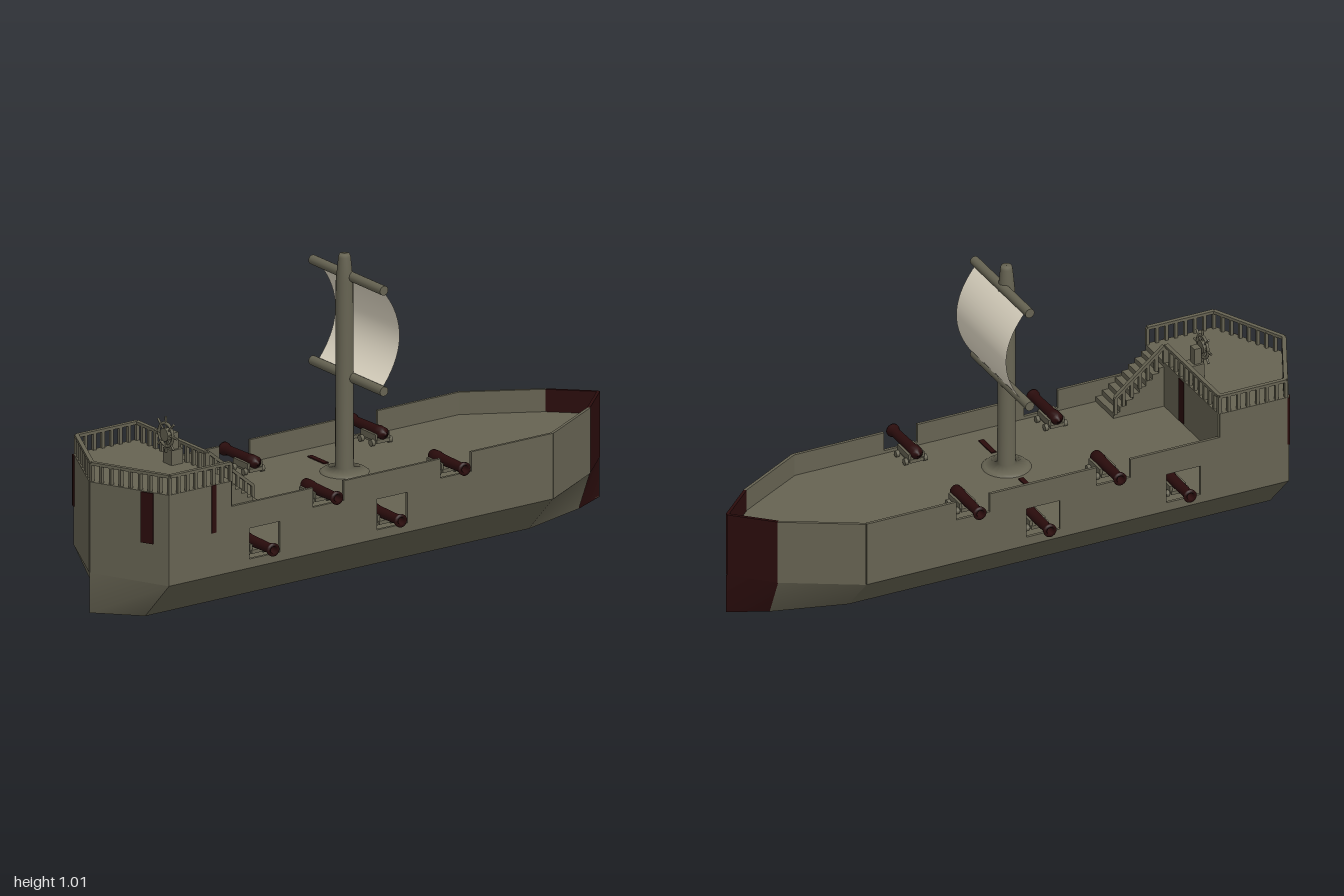
import * as THREE from 'three';

const mat = (name, color, side = THREE.FrontSide) => {
  const m = new THREE.MeshStandardMaterial({ color, side });
  m.name = name;
  return m;
};

export function createModel() {
  const ship = new THREE.Group();
  ship.name = 'sailingShip';
  const wood = mat('weatheredWood', 0x666352);
  const dark = mat('darkRed', 0x2a0c0c);
  const cloth = mat('sailCloth', 0xeae2ce, THREE.DoubleSide);

  const add = (name, geo, m, x = 0, y = 0, z = 0, parent = ship) => {
    const mesh = new THREE.Mesh(geo, m);
    mesh.name = name;
    mesh.position.set(x, y, z);
    parent.add(mesh);
    return mesh;
  };
  const box = (name, w, h, d, m, x, y, z, parent) =>
    add(name, new THREE.BoxGeometry(w, h, d), m, x, y, z, parent);
  // Box stretched between two points
  const beam = (name, a, b, w, h, m) => {
    const p = new THREE.Vector3(...a), q = new THREE.Vector3(...b);
    const mid = p.clone().add(q).multiplyScalar(0.5);
    const mesh = box(name, w, h, p.distanceTo(q), m, mid.x, mid.y, mid.z);
    mesh.lookAt(q);
    return mesh;
  };
  // Horizontal slab from [x, z] points, rising from y
  const slab = (name, pts, y, depth) => {
    const shape = new THREE.Shape(pts.map(([x, z]) => new THREE.Vector2(x, -z)));
    const geo = new THREE.ExtrudeGeometry(shape, { depth, bevelEnabled: false });
    geo.rotateX(-Math.PI / 2);
    return add(name, geo, wood, 0, y, 0);
  };

  // Hull plan, stern tip first
  const CHINE = 0.135, DECK = 0.28, SIDE = 0.355, POOP = 0.44;
  const plan = [[0, 1], [0.26, 0.875], [0.26, -0.63], [0.12, -0.875],
    [0, -1], [-0.12, -0.875], [-0.26, -0.63], [-0.26, 0.875]];
  const inset = plan.map(([x, z]) => [x * 0.97, z * 0.99]);
  const isBow = (i) => i === 3 || i === 4;

  // Sloped lower hull, one quad per plan edge
  plan.forEach(([ax, az], i) => {
    const [bx, bz] = plan[(i + 1) % plan.length];
    const geo = new THREE.BufferGeometry();
    geo.setAttribute('position', new THREE.Float32BufferAttribute([
      ax / 2, 0, az, bx / 2, 0, bz, bx, CHINE, bz, ax, CHINE, az], 3));
    geo.setIndex([0, 1, 2, 0, 2, 3]);
    geo.computeVertexNormals();
    add('lowerHull', geo, isBow(i) ? dark : wood);
  });
  slab('keelPlate', plan.map(([x, z]) => [x / 2, z]), 0, 0.004);
  slab('gunDeck', inset, CHINE, 0.01);
  slab('mainDeck', inset, DECK - 0.01, 0.01);
  slab('poopDeck', [[0, 0.995], [0.255, 0.87], [0.255, 0.625], [-0.255, 0.625], [-0.255, 0.87]], POOP - 0.012, 0.012);

  // Long side walls with gun ports and notches
  const wall = new THREE.Shape();
  wall.moveTo(-0.875, CHINE);
  wall.lineTo(0.63, CHINE);
  wall.lineTo(0.63, SIDE);
  for (const z of [-0.25, 0.25]) {
    wall.lineTo(-z + 0.06, SIDE);
    wall.lineTo(-z + 0.06, 0.29);
    wall.lineTo(-z - 0.06, 0.29);
    wall.lineTo(-z - 0.06, SIDE);
  }
  wall.lineTo(-0.63, SIDE);
  wall.lineTo(-0.63, POOP);
  wall.lineTo(-0.875, POOP);
  for (const z of [0, 0.5]) {
    wall.holes.push(new THREE.Path([[-0.06, 0.165], [-0.06, 0.268], [0.06, 0.268], [0.06, 0.165]]
      .map(([u, v]) => new THREE.Vector2(u - z, v))));
  }
  const wallGeo = new THREE.ExtrudeGeometry(wall, { depth: 0.01, bevelEnabled: false });
  wallGeo.rotateY(Math.PI / 2);
  for (const x of [0.25, -0.26]) add('sideWall', wallGeo, wood, x);

  // Bow and stern walls, bulkhead
  const panel = (name, a, b, top, m) => beam(name, [a[0], (CHINE + top) / 2, a[1]],
    [b[0], (CHINE + top) / 2, b[1]], 0.01, top - CHINE, m);
  for (const s of [1, -1]) {
    panel('bowWall', [s * 0.256, -0.63], [s * 0.116, -0.875], SIDE, wood);
    panel('bowTipWall', [s * 0.116, -0.873], [0, -0.996], SIDE, dark);
    panel('sternWall', [s * 0.258, 0.871], [0, 0.995], POOP, wood);
  }
  box('bulkhead', 0.51, POOP - DECK, 0.012, wood, 0, (POOP + DECK) / 2, 0.631);

  // Dark painted patches
  const patch = (x0, x1) => {
    const at = (x) => [x, 0.353, 1.001 - Math.abs(x) * 0.125 / 0.26];
    beam('sternPatch', at(x0), at(x1), 0.008, 0.17, dark);
  };
  patch(0.17, 0.21);
  patch(-0.243, -0.262);
  box('bulkheadPatch', 0.035, 0.15, 0.004, dark, 0, 0.36, 0.624);
  box('sidePatch', 0.004, 0.16, 0.018, dark, 0.26, 0.36, 0.7);
  for (const s of [1, -1]) box('deckPatch', 0.09, 0.004, 0.018, dark, s * 0.14, DECK + 0.002, 0.003);

  // Poop railing
  const railing = (a, b, count) => {
    const p = new THREE.Vector3(...a), q = new THREE.Vector3(...b);
    beam('railTop', [p.x, p.y + 0.06, p.z], [q.x, q.y + 0.06, q.z], 0.014, 0.01, wood);
    for (let i = 0; i <= count; i++) {
      const c = p.clone().lerp(q, i / count);
      box('railPost', 0.011, 0.06, 0.011, wood, c.x, c.y + 0.03, c.z);
    }
  };
  for (const s of [1, -1]) {
    railing([0, POOP, 0.99], [s * 0.253, POOP, 0.868], 8);
    railing([s * 0.253, POOP, 0.868], [s * 0.253, POOP, 0.63], 7);
  }
  railing([-0.253, POOP, 0.632], [0.123, POOP, 0.632], 11);
  railing([0.123, POOP, 0.625], [0.123, 0.295, 0.45], 6);

  // Stairs to the poop
  const steps = 8;
  for (let i = 0; i < steps; i++) {
    const h = (POOP - DECK) * (i + 1) / (steps + 1);
    box('stairStep', 0.125, h, 0.185 / steps, wood, 0.187, DECK + h / 2, 0.445 + 0.185 * (i + 0.5) / steps);
  }

  // Mast, yards and sail
  const mastProfile = [[0.08, DECK], [0.07, DECK + 0.008], [0.03, DECK + 0.016], [0.028, 0.92], [0.02, 1], [0.017, 1.01], [0, 1.01]];
  add('mast', new THREE.LatheGeometry(mastProfile.map((p) => new THREE.Vector2(...p)), 20), wood);
  for (const y of [0.935, 0.597]) {
    const yard = add('yard', new THREE.CylinderGeometry(0.016, 0.016, 0.39, 14), wood, 0, y, -0.015);
    yard.rotation.z = Math.PI / 2;
  }
  const sail = new THREE.PlaneGeometry(0.35, 0.338, 1, 18);
  const pos = sail.attributes.position;
  for (let i = 0; i < pos.count; i++) {
    const t = pos.getY(i) / 0.169;
    pos.setZ(i, -0.018 - 0.072 * (1 - t * t));
  }
  sail.computeVertexNormals();
  add('sail', sail, cloth, 0, 0.766, 0);

  // Steering wheel on its stand
  box('wheelStand', 0.046, 0.05, 0.045, wood, 0, 0.465, 0.672);
  box('wheelPost', 0.03, 0.06, 0.025, wood, 0, 0.515, 0.675);
  const wheel = new THREE.Group();
  wheel.name = 'steeringWheel';
  wheel.position.set(0, 0.54, 0.7);
  ship.add(wheel);
  add('wheelRim', new THREE.TorusGeometry(0.038, 0.005, 8, 24), wood, 0, 0, 0, wheel);
  const hub = add('wheelHub', new THREE.CylinderGeometry(0.022, 0.022, 0.016, 16), wood, 0, 0, 0, wheel);
  hub.rotation.x = Math.PI / 2;
  for (let i = 0; i < 8; i++) {
    const a = i * Math.PI / 4;
    const spoke = add('wheelSpoke', new THREE.CylinderGeometry(0.004, 0.003, 0.06, 8), wood,
      -Math.sin(a) * 0.03, Math.cos(a) * 0.03, 0, wheel);
    spoke.rotation.z = a;
  }

  // Cannons on wheeled carriages
  const barrel = new THREE.LatheGeometry([[0, -0.012], [0.007, -0.008], [0.008, 0], [0.02, 0.004], [0.021, 0.03],
    [0.018, 0.05], [0.016, 0.155], [0.022, 0.172], [0.022, 0.18], [0.012, 0.18], [0.01, 0.13], [0, 0.13]]
    .map((p) => new THREE.Vector2(...p)), 16);
  barrel.rotateZ(-Math.PI / 2);
  const cannon = (s, y, z) => {
    const g = new THREE.Group();
    g.name = 'cannon';
    g.position.set(s * 0.13, y, z);
    if (s < 0) g.rotation.y = Math.PI;
    ship.add(g);
    add('cannonBarrel', barrel, dark, 0, 0, 0, g);
    box('carriageBed', 0.09, 0.012, 0.05, wood, 0.05, -0.025, 0, g);
    for (const d of [1, -1]) {
      box('carriageCheek', 0.08, 0.022, 0.009, wood, 0.05, -0.012, d * 0.024, g);
      for (const x of [0.02, 0.08]) {
        const w = add('carriageWheel', new THREE.CylinderGeometry(0.011, 0.011, 0.012, 12), wood, x, -0.029, d * 0.034, g);
        w.rotation.x = Math.PI / 2;
      }
    }
  };
  for (const s of [1, -1]) {
    for (const z of [-0.25, 0.25]) cannon(s, 0.322, z);
    for (const z of [0, 0.5]) cannon(s, 0.197, z);
  }
  return ship;
}
